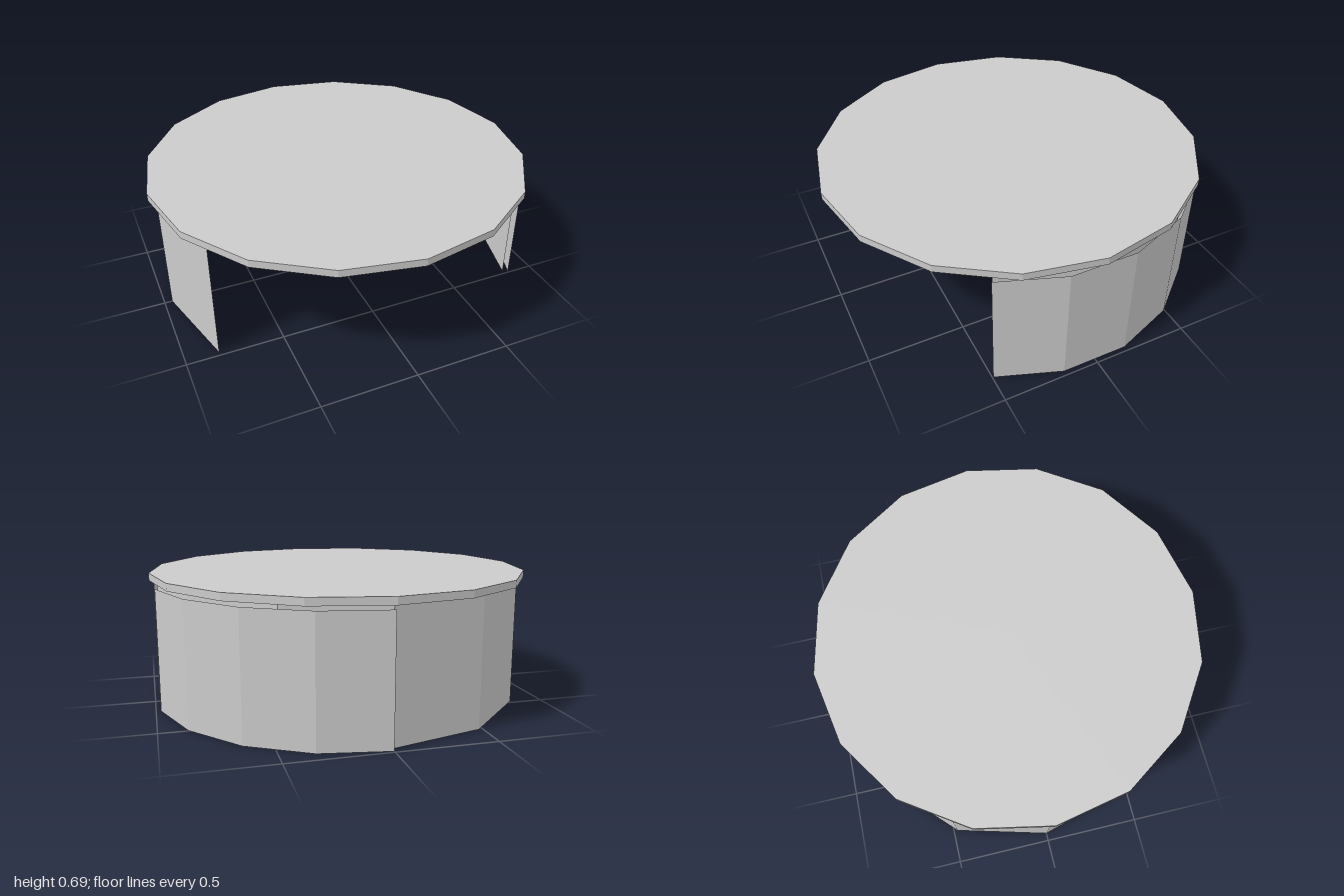
import * as THREE from 'three';

const deg = THREE.MathUtils.degToRad;

export function createModel() {
  const group = new THREE.Group();
  const sheet = new THREE.MeshStandardMaterial({ color: 0xcccccc, flatShading: true, side: THREE.DoubleSide });

  function add(name, geometry, y) {
    const mesh = new THREE.Mesh(geometry, sheet);
    mesh.name = name;
    mesh.position.y = y;
    group.add(mesh);
  }

  // Thin curved band; angles run from the front (+z) towards +x
  function addBand(name, radius, bottom, height, segments, start, sweep) {
    const geometry = new THREE.CylinderGeometry(radius, radius, height, segments, 1, true, deg(start), deg(sweep));
    add(name, geometry, bottom + height / 2);
  }

  // Shallow lid: flat top with a rim, hollow underneath
  const wallTop = 0.652, rimHeight = 0.038;
  add('lidTop', new THREE.CircleGeometry(1, 16).rotateX(-Math.PI / 2), wallTop + rimHeight);
  addBand('lidRim', 1, wallTop, rimHeight, 16, 0, 360);

  // Fixed wall, open at the front
  addBand('fixedWall', 0.96, 0, wallTop, 8, 60, 240);

  // Slightly shorter sliding door, parked outside the left half of the wall
  addBand('slidingDoor', 0.99, 0, 0.632, 6, 60, 120);

  return group;
}
